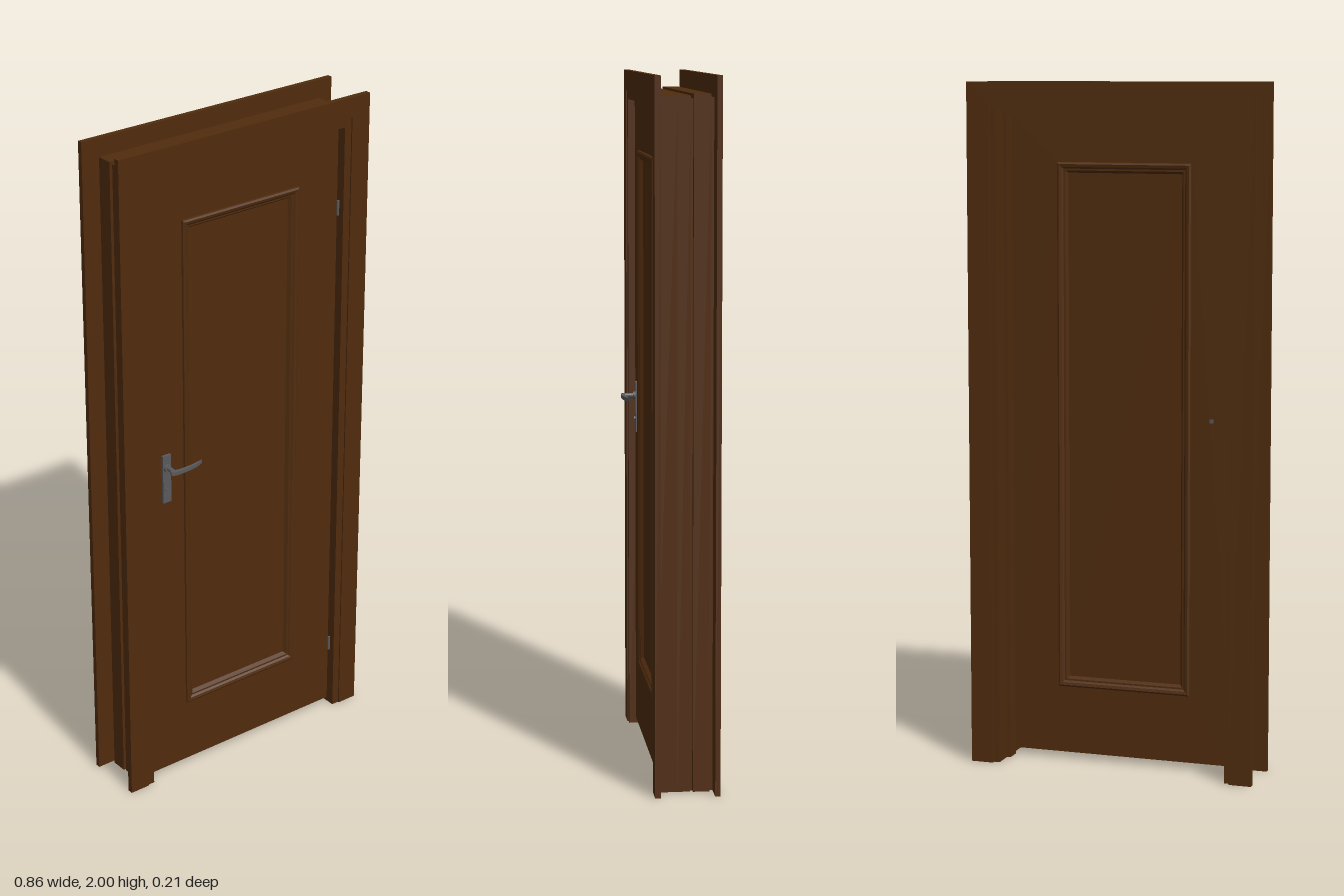
import * as THREE from 'three';

const wood = new THREE.MeshStandardMaterial({ color: 0x502c0e });
wood.name = 'dark wood';
const metal = new THREE.MeshStandardMaterial({ color: 0x5a5a5d });
metal.name = 'grey metal';

function add(group, name, geometry, material, x = 0, y = 0, z = 0) {
  const mesh = new THREE.Mesh(geometry, material);
  mesh.name = name;
  mesh.position.set(x, y, z);
  group.add(mesh);
  return mesh;
}

// Three-sided surround (two legs and a head) between two depths
function surround(outX, outTop, inX, inTop, z0, z1) {
  const s = new THREE.Shape();
  s.moveTo(-outX, 0);
  s.lineTo(-inX, 0);
  s.lineTo(-inX, inTop);
  s.lineTo(inX, inTop);
  s.lineTo(inX, 0);
  s.lineTo(outX, 0);
  s.lineTo(outX, outTop);
  s.lineTo(-outX, outTop);
  s.closePath();
  const g = new THREE.ExtrudeGeometry(s, { depth: z1 - z0, bevelEnabled: false });
  return g.translate(0, 0, z0);
}

// Mitred rectangular moulding; profile lists [inset, z] from the outer edge inwards
function mitredRing(x0, x1, y0, y1, profile) {
  const loop = ([d, z]) => [
    [x0 + d, y0 + d, z], [x1 - d, y0 + d, z], [x1 - d, y1 - d, z], [x0 + d, y1 - d, z],
  ];
  const pos = [];
  for (let i = 0; i < profile.length - 1; i++) {
    const a = loop(profile[i]), b = loop(profile[i + 1]);
    for (let k = 0; k < 4; k++) {
      const n = (k + 1) % 4;
      pos.push(...a[k], ...a[n], ...b[n], ...a[k], ...b[n], ...b[k]);
    }
  }
  const g = new THREE.BufferGeometry();
  g.setAttribute('position', new THREE.Float32BufferAttribute(pos, 3));
  g.computeVertexNormals();
  return g;
}

function buildFrame() {
  const frame = new THREE.Group();
  frame.name = 'doorFrame';
  add(frame, 'frontCasing', surround(0.43, 2, 0.368, 1.94, 0.06, 0.077), wood);
  add(frame, 'backCasing', surround(0.43, 2, 0.363, 1.937, -0.107, -0.092), wood);
  // Main jamb with the rebate the door closes into
  add(frame, 'jamb', surround(0.376, 1.945, 0.345, 1.915, 0.009, 0.073), wood);
  add(frame, 'doorStop', surround(0.376, 1.945, 0.335, 1.905, -0.028, 0.009), wood);
  // Extension jamb, tongued into the stop and the back casing
  add(frame, 'stopTongue', surround(0.366, 1.937, 0.335, 1.905, -0.035, -0.028), wood);
  add(frame, 'extensionJamb', surround(0.38, 1.95, 0.346, 1.916, -0.083, -0.035), wood);
  add(frame, 'casingTongue', surround(0.368, 1.94, 0.346, 1.916, -0.096, -0.083), wood);
  return frame;
}

function buildDoor() {
  const door = new THREE.Group();
  door.name = 'door';
  const back = 0.01, front = 0.053;
  const [px0, px1, py0, py1] = [-0.21, 0.196, 0.22, 1.77];

  // Leaf with an opening for the panel
  const s = new THREE.Shape();
  s.moveTo(-0.341, 0.02);
  s.lineTo(0.338, 0.02);
  s.lineTo(0.338, 1.911);
  s.lineTo(-0.341, 1.911);
  s.closePath();
  const hole = new THREE.Path();
  hole.moveTo(px0, py0);
  hole.lineTo(px0, py1);
  hole.lineTo(px1, py1);
  hole.lineTo(px1, py0);
  hole.closePath();
  s.holes.push(hole);
  const leaf = new THREE.ExtrudeGeometry(s, { depth: front - back, bevelEnabled: false });
  add(door, 'doorLeaf', leaf.translate(0, 0, back), wood);

  // Raised moulding, stepping down to the recessed panel on both faces
  const steps = [[0, 0], [0.001, 0.006], [0.006, 0.009], [0.014, 0.007], [0.019, 0.002],
    [0.024, 0.002], [0.031, -0.008]];
  const frontSteps = steps.map(([d, h]) => [d, front + h]);
  const backSteps = steps.map(([d, h]) => [d, back - h]).reverse();
  add(door, 'frontMoulding', mitredRing(px0, px1, py0, py1, frontSteps), wood);
  add(door, 'backMoulding', mitredRing(px0, px1, py0, py1, backSteps), wood);
  add(door, 'panel', new THREE.BoxGeometry(px1 - px0 - 0.05, py1 - py0 - 0.05, front - back - 0.016),
    wood, (px0 + px1) / 2, (py0 + py1) / 2, (front + back) / 2);

  // Hinge knuckles
  for (const y of [0.22, 1.67]) {
    add(door, 'hinge', new THREE.CylinderGeometry(0.004, 0.004, 0.045, 12), metal, 0.34, y, 0.055);
  }
  return door;
}

function buildHandle() {
  const handle = new THREE.Group();
  handle.name = 'handle';
  const x = -0.273, y = 1.035;
  add(handle, 'handlePlate', new THREE.BoxGeometry(0.028, 0.15, 0.008), metal, x, 1.0, 0.056);
  add(handle, 'rosette', new THREE.CylinderGeometry(0.011, 0.012, 0.008, 20).rotateX(Math.PI / 2),
    metal, x, y, 0.063);
  add(handle, 'handleNeck', new THREE.CylinderGeometry(0.007, 0.007, 0.04, 16).rotateX(Math.PI / 2),
    metal, x + 0.002, y, 0.078);
  add(handle, 'keyCylinder', new THREE.CylinderGeometry(0.006, 0.006, 0.006, 16).rotateX(Math.PI / 2),
    metal, x, 0.965, 0.061);

  // Curved lever, drawn in plan and given a small height
  const s = new THREE.Shape();
  s.moveTo(-0.285, 0.094);
  s.quadraticCurveTo(-0.284, 0.087, -0.272, 0.088);
  s.bezierCurveTo(-0.26, 0.098, -0.215, 0.095, -0.17, 0.086);
  s.bezierCurveTo(-0.19, 0.1, -0.225, 0.104, -0.262, 0.104);
  s.quadraticCurveTo(-0.284, 0.103, -0.285, 0.094);
  const lever = new THREE.ExtrudeGeometry(s, { depth: 0.011, bevelEnabled: false, curveSegments: 10 });
  add(handle, 'lever', lever.rotateX(Math.PI / 2), metal, 0, y + 0.0055, 0);

  // Spindle end showing on the back of the door
  add(handle, 'spindle', new THREE.BoxGeometry(0.011, 0.011, 0.05), metal, x, y, 0.03);
  return handle;
}

export function createModel() {
  const model = new THREE.Group();
  model.name = 'panelledDoor';
  model.add(buildFrame(), buildDoor(), buildHandle());
  return model;
}
